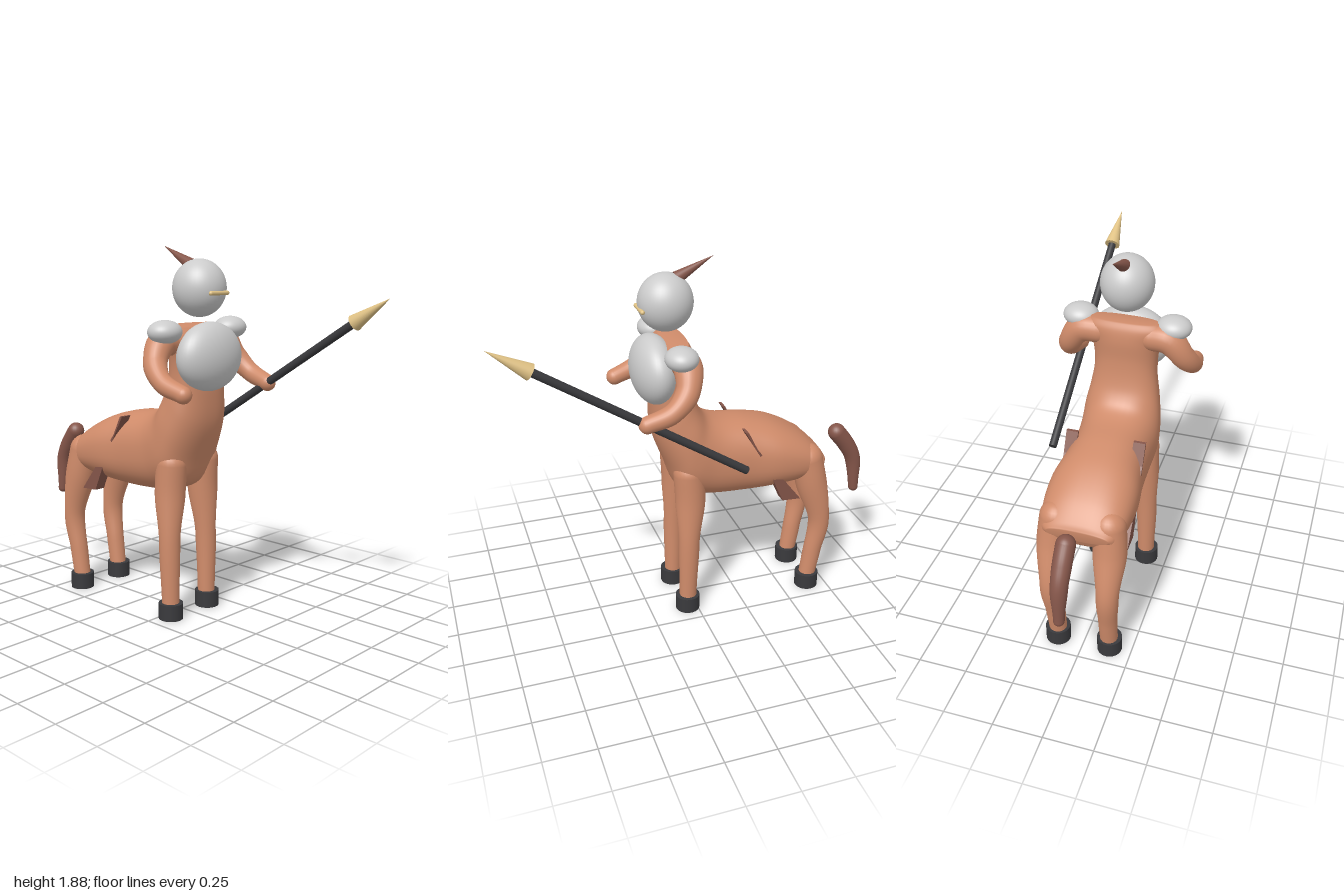
import * as THREE from 'three';

const mat = (color) => new THREE.MeshStandardMaterial({ color });
const skin = mat(0xcf8b6a), hide = mat(0x85564a), dark = mat(0x3a3a3d), gold = mat(0xe0c285), metal = mat(0xcccccc);
const V = (x, y, z) => new THREE.Vector3(x, y, z);

export function createModel() {
  const model = new THREE.Group();

  const add = (name, geometry, material, parent = model) => {
    const mesh = new THREE.Mesh(geometry, material);
    mesh.name = name;
    parent.add(mesh);
    return mesh;
  };

  const ellipsoid = (name, center, radii, material) => {
    const mesh = add(name, new THREE.SphereGeometry(1, 40, 28), material);
    mesh.position.set(...center);
    mesh.scale.set(...radii);
    return mesh;
  };

  // Tapered round limb through points [x, y, z, radius] with rounded ends
  const limb = (name, pts, material) => {
    const group = new THREE.Group();
    group.name = name;
    model.add(group);
    const curve = new THREE.CatmullRomCurve3(pts.map((p) => V(p[0], p[1], p[2])));
    const n = 32, sides = 24;
    const geo = new THREE.TubeGeometry(curve, n, 1, sides);
    const pos = geo.attributes.position, v = V(0, 0, 0);
    for (let i = 0; i <= n; i++) {
      const c = curve.getPointAt(i / n);
      const t = curve.getUtoTmapping(i / n) * (pts.length - 1);
      const k = Math.min(Math.floor(t), pts.length - 2);
      const r = THREE.MathUtils.lerp(pts[k][3], pts[k + 1][3], THREE.MathUtils.smoothstep(t - k, 0, 1));
      for (let j = 0; j <= sides; j++) {
        const q = i * (sides + 1) + j;
        v.fromBufferAttribute(pos, q).sub(c).multiplyScalar(r).add(c);
        pos.setXYZ(q, v.x, v.y, v.z);
      }
    }
    add(name + 'Shaft', geo, material, group);
    for (const p of [pts[0], pts[pts.length - 1]]) {
      add(name + 'End', new THREE.SphereGeometry(p[3], 24, 16), material, group).position.set(p[0], p[1], p[2]);
    }
  };

  // Smooth body through sections [upper z, upper y, lower z, lower y, half width]
  const loft = (sections) => {
    const tops = new THREE.CatmullRomCurve3(sections.map((s) => V(s[4], s[1], s[0])));
    const lows = new THREE.CatmullRomCurve3(sections.map((s) => V(0, s[3], s[2])));
    const rings = 72, sides = 48, pos = [], idx = [];
    const bend = (c) => Math.sign(c) * Math.pow(Math.abs(c), 0.85);
    for (let i = 0; i <= rings; i++) {
      const a = tops.getPoint(i / rings), b = lows.getPoint(i / rings);
      for (let j = 0; j < sides; j++) {
        const t = (j / sides) * Math.PI * 2, c = (1 + bend(Math.cos(t))) / 2;
        pos.push(a.x * bend(Math.sin(t)), b.y + (a.y - b.y) * c, b.z + (a.z - b.z) * c);
        if (i < rings) {
          const p = i * sides + j, q = i * sides + (j + 1) % sides;
          idx.push(p, p + sides, q, q, p + sides, q + sides);
        }
      }
    }
    // End caps
    for (const [i, flip] of [[0, false], [rings, true]]) {
      const a = tops.getPoint(i / rings), b = lows.getPoint(i / rings), center = pos.length / 3;
      pos.push(0, (a.y + b.y) / 2, (a.z + b.z) / 2);
      for (let j = 0; j < sides; j++) {
        const p = i * sides + j, q = i * sides + (j + 1) % sides;
        idx.push(center, flip ? q : p, flip ? p : q);
      }
    }
    const geo = new THREE.BufferGeometry();
    geo.setAttribute('position', new THREE.Float32BufferAttribute(pos, 3));
    geo.setIndex(idx);
    geo.computeVertexNormals();
    return geo;
  };

  // Barrel, chest and upright torso in one skin
  add('body', loft([
    [-0.71, 0.80, -0.70, 0.74, 0.15],
    [-0.69, 0.83, -0.67, 0.69, 0.18],
    [-0.60, 0.91, -0.57, 0.66, 0.21],
    [-0.45, 0.99, -0.42, 0.64, 0.22],
    [-0.30, 1.03, -0.25, 0.63, 0.20],
    [-0.15, 1.05, -0.05, 0.645, 0.195],
    [-0.08, 1.08, 0.07, 0.69, 0.20],
    [-0.04, 1.13, 0.13, 0.83, 0.195],
    [-0.015, 1.20, 0.19, 1.00, 0.175],
    [0.00, 1.30, 0.20, 1.15, 0.158],
    [0.00, 1.40, 0.19, 1.32, 0.17],
    [0.01, 1.46, 0.17, 1.44, 0.21],
    [0.03, 1.50, 0.13, 1.49, 0.17],
  ]), skin);

  for (const [s, side] of [[1, 'left'], [-1, 'right']]) {
    // Legs and hooves
    limb(side + 'FrontLeg', [
      [0.115 * s, 0.80, 0.035, 0.08], [0.12 * s, 0.66, 0.03, 0.078],
      [0.135 * s, 0.40, 0.04, 0.054], [0.135 * s, 0.07, 0.047, 0.045],
    ], skin);
    limb(side + 'HindLeg', [
      [0.13 * s, 0.79, -0.61, 0.082], [0.14 * s, 0.66, -0.635, 0.083],
      [0.143 * s, 0.41, -0.695, 0.056], [0.137 * s, 0.22, -0.67, 0.048], [0.135 * s, 0.07, -0.648, 0.045],
    ], skin);
    for (const [end, z] of [['Front', 0.05], ['Hind', -0.645]]) {
      add(side + end + 'Hoof', new THREE.CylinderGeometry(0.063, 0.063, 0.083, 32), dark)
        .position.set(0.137 * s, 0.0415, z);
    }
    // Arm and shoulder guard
    limb(side + 'Arm', [
      [0.13 * s, 1.42, 0.08, 0.07], [0.22 * s, 1.415, 0.075, 0.07], [0.29 * s, 1.32, 0.10, 0.058],
      [0.318 * s, 1.24, 0.18, 0.048], [0.308 * s, 1.195, 0.30, 0.042],
    ], skin);
    ellipsoid(side + 'ShoulderGuard', [0.235 * s, 1.47, 0.11], [0.088, 0.057, 0.08], metal);

    // Slanted flank strap, mostly sunk into the barrel
    const strap = new THREE.Shape([[-0.235, 1.02], [-0.25, 1.02], [-0.30, 0.92], [-0.42, 0.76], [-0.55, 0.595], [-0.45, 0.60], [-0.36, 0.80]]
      .map(([z, y]) => new THREE.Vector2(-z, y)));
    const geo = new THREE.ExtrudeGeometry(strap, { depth: 0.06, bevelEnabled: false });
    geo.rotateY(Math.PI / 2);
    geo.translate(s > 0 ? 0.14 : -0.20, 0, 0);
    add(side + 'FlankStrap', geo, hide);
  }

  // Breastplate, helmet, visor and crest
  ellipsoid('breastplate', [0, 1.342, 0.182], [0.205, 0.17, 0.11], metal);
  ellipsoid('helmet', [0, 1.672, 0.115], [0.131, 0.141, 0.135], metal);
  const visor = add('visor', new THREE.CapsuleGeometry(0.011, 0.115, 8, 16), gold);
  visor.rotation.z = Math.PI / 2;
  visor.position.set(0, 1.65, 0.243);

  // Straight part whose +y axis runs from a to b
  const between = (name, a, b, r0, r1, material) => {
    const d = b.clone().sub(a);
    const mesh = add(name, new THREE.CylinderGeometry(r1, r0, d.length(), 28), material);
    mesh.position.copy(a).addScaledVector(d, 0.5);
    mesh.quaternion.setFromUnitVectors(V(0, 1, 0), d.normalize());
  };
  between('crest', V(0, 1.782, 0.06), V(0, 1.875, -0.125), 0.032, 0, hide);

  // Spear
  between('spearShaft', V(0.295, 0.868, -0.205), V(0.295, 1.53, 0.83), 0.02, 0.02, dark);
  between('spearHead', V(0.295, 1.52, 0.815), V(0.295, 1.638, 1.0), 0.04, 0, gold);

  // Tail
  limb('tail', [
    [0, 0.845, -0.842, 0.047], [0, 0.77, -0.90, 0.046], [0, 0.68, -0.948, 0.042], [0, 0.49, -0.97, 0.027],
  ], hide);

  return model;
}
